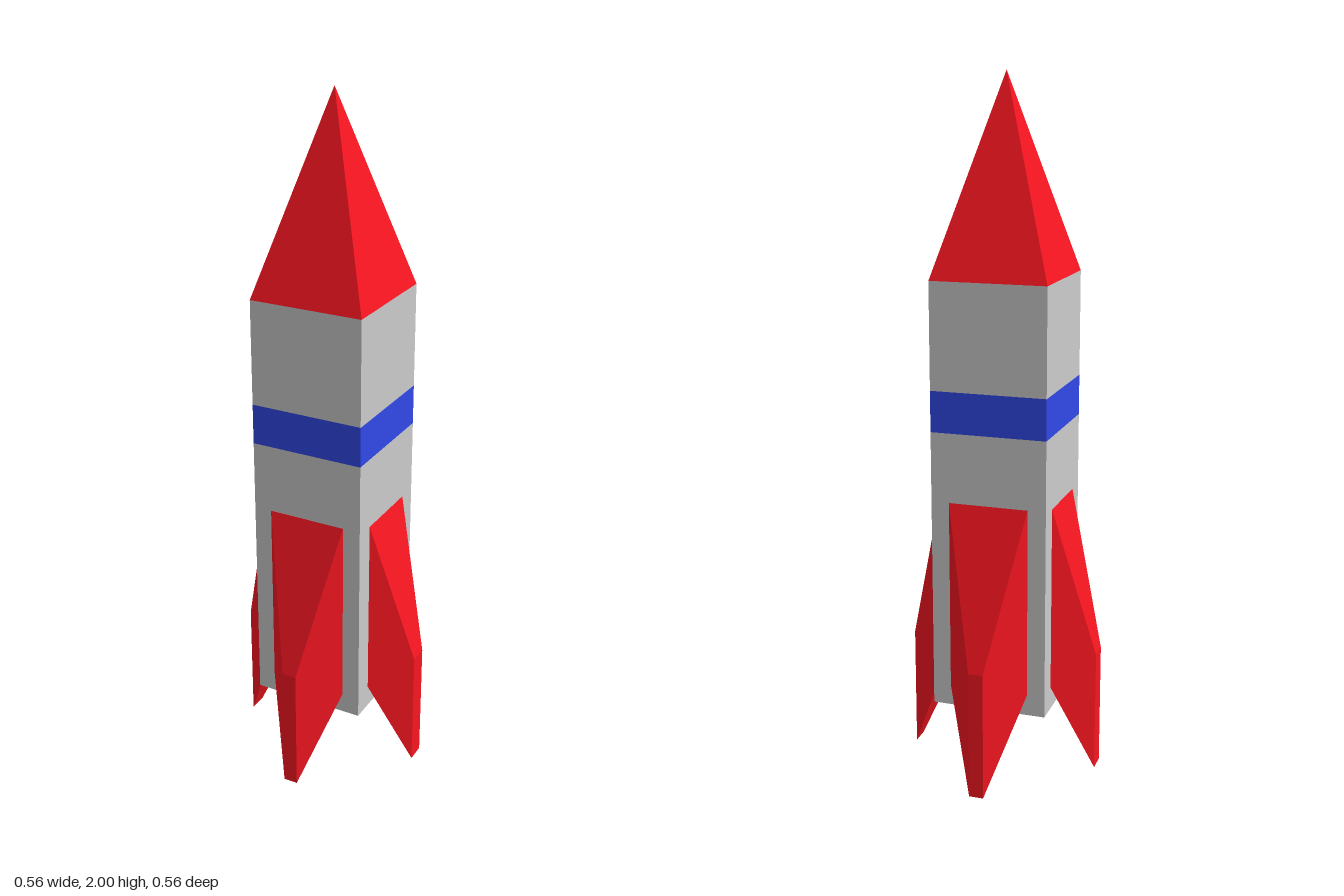
import * as THREE from 'three';

const material = (color) => new THREE.MeshStandardMaterial({ color, flatShading: true });

const HALF = 0.167; // half width of the square hull

// Wedge-shaped fin pointing along +z: a box whose inner and outer ends get their own width and heights
function finGeometry(inner, outer) {
  const geometry = new THREE.BoxGeometry(2, 2, 2);
  const p = geometry.attributes.position;
  for (let i = 0; i < p.count; i++) {
    const end = p.getZ(i) > 0 ? outer : inner;
    p.setXYZ(i, p.getX(i) * end.halfWidth, p.getY(i) > 0 ? end.top : end.bottom, end.z);
  }
  geometry.computeVertexNormals();
  return geometry;
}

export function createModel() {
  const rocket = new THREE.Group();
  rocket.name = 'rocket';
  const grey = material(0xcccccc);
  const red = material(0xf81621);
  const blue = material(0x3049e8);

  const add = (name, geometry, mat, y = 0) => {
    const mesh = new THREE.Mesh(geometry, mat);
    mesh.name = name;
    mesh.position.y = y;
    rocket.add(mesh);
    return mesh;
  };

  // Square hull in stacked sections, with the coloured band flush between them
  const section = (name, bottom, top, mat) =>
    add(name, new THREE.BoxGeometry(2 * HALF, top - bottom, 2 * HALF), mat, (bottom + top) / 2);
  section('lowerHull', 0.22, 1.03, grey);
  section('band', 1.03, 1.147, blue);
  section('upperHull', 1.147, 1.45, grey);

  // Four-sided pyramid nose
  const nose = new THREE.ConeGeometry(HALF * Math.SQRT2, 0.55, 4);
  nose.rotateY(Math.PI / 4);
  add('noseCone', nose, red, 1.725);

  // Front and back fins are slightly broader than the side fins
  const broadFin = finGeometry(
    { z: HALF, halfWidth: 0.115, bottom: 0.28, top: 0.83 },
    { z: 0.28, halfWidth: 0.021, bottom: 0, top: 0.375 });
  const sideFin = finGeometry(
    { z: HALF, halfWidth: 0.106, bottom: 0.285, top: 0.82 },
    { z: 0.28, halfWidth: 0.028, bottom: 0.013, top: 0.37 });
  ['frontFin', 'leftFin', 'backFin', 'rightFin'].forEach((name, i) => {
    add(name, i % 2 ? sideFin : broadFin, red).rotation.y = i * Math.PI / 2;
  });

  return rocket;
}
